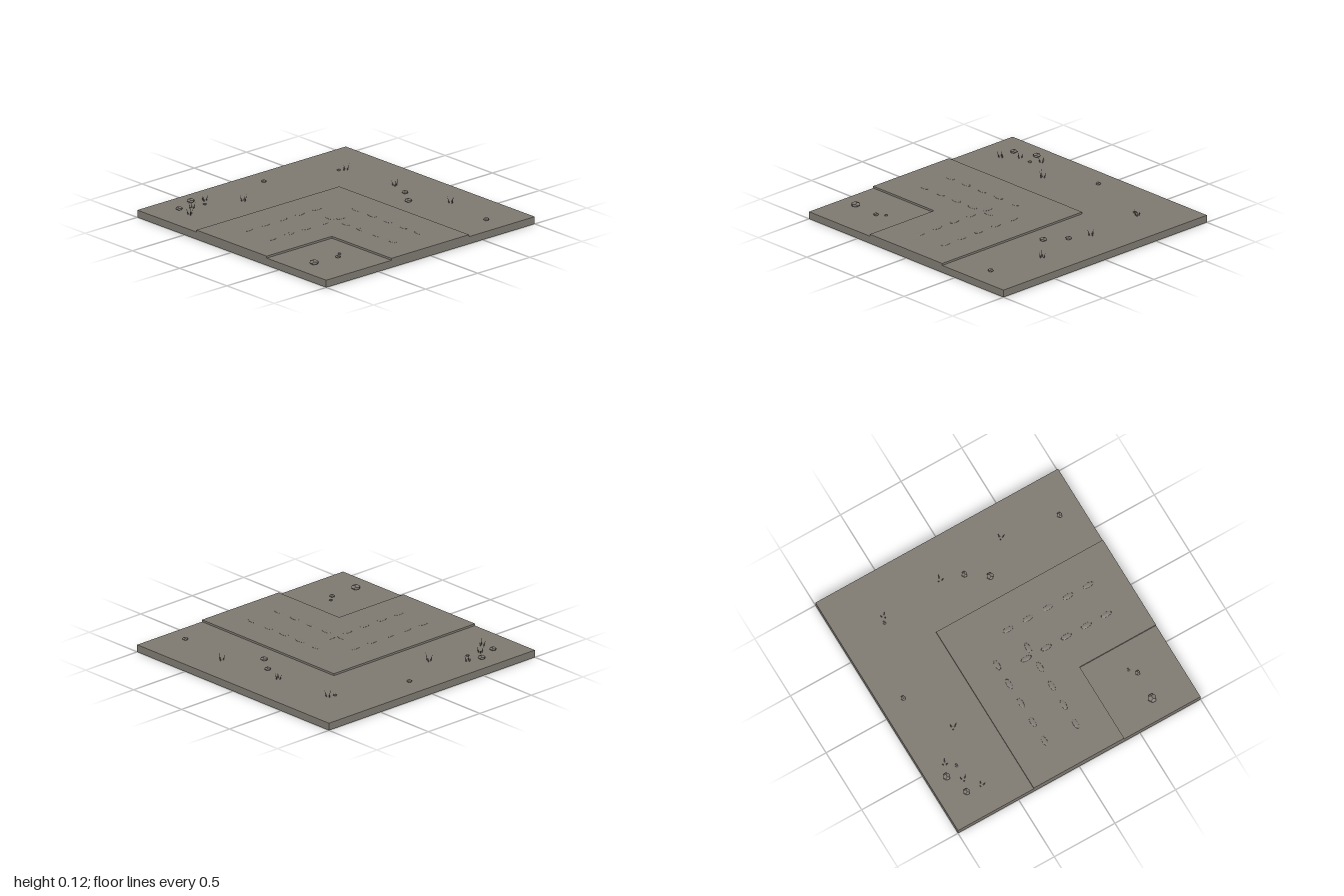
import * as THREE from 'three';

const GROUND = 0.055, ROAD = 0.07;

export function createModel() {
  const model = new THREE.Group();
  const soil = new THREE.MeshStandardMaterial({ color: 0x7d7870 });
  soil.name = 'soil grey';

  const add = (name, geometry, parent = model) => {
    const mesh = new THREE.Mesh(geometry, soil);
    mesh.name = name;
    parent.add(mesh);
    return mesh;
  };
  const group = (name) => {
    const g = new THREE.Group();
    g.name = name;
    model.add(g);
    return g;
  };

  // Square ground slab
  add('groundSlab', new THREE.BoxGeometry(2, GROUND, 2)).position.y = GROUND / 2;

  // Raised L-shaped road corner, drawn in x and -z then laid flat
  const outline = [[-1, 0.375], [-1, -0.37], [-0.375, -0.37], [-0.375, -1], [0.37, -1], [0.37, 0.375]];
  const shape = new THREE.Shape(outline.map(([x, y]) => new THREE.Vector2(x, y)));
  const roadGeometry = new THREE.ExtrudeGeometry(shape, { depth: ROAD - GROUND, bevelEnabled: false });
  roadGeometry.rotateX(-Math.PI / 2);
  add('road', roadGeometry).position.y = GROUND;

  // Shallow wheel-track bumps along both arms of the road
  const tracks = group('wheelTracks');
  const bump = new THREE.SphereGeometry(1, 12, 8);
  for (let i = 0; i < 5; i++) {
    for (const side of [-0.128, 0.128]) {
      const across = add('trackBump', bump, tracks);
      across.position.set(-0.73 + i * 0.166, ROAD, side);
      across.scale.set(0.042, 0.004, 0.018);
      const along = add('trackBump', bump, tracks);
      along.position.set(side, ROAD, 0.075 + i * 0.165);
      along.scale.set(0.018, 0.004, 0.042);
    }
  }

  // Flattened faceted stones: x, z, radius
  const stones = group('stones');
  const stoneGeometry = new THREE.DodecahedronGeometry(1, 0);
  for (const [x, z, r] of [
    [-0.78, -0.8, 0.026], [-0.61, -0.865, 0.029], [-0.57, -0.76, 0.014], [0.06, -0.83, 0.02],
    [0.62, -0.655, 0.014], [0.645, 0.02, 0.024], [0.54, 0.17, 0.028], [0.69, 0.83, 0.022],
    [-0.84, 0.695, 0.035], [-0.62, 0.705, 0.02], [-0.565, 0.66, 0.013],
  ]) {
    const stone = add('stone', stoneGeometry, stones);
    stone.position.set(x, GROUND + r * 0.5, z);
    stone.scale.set(r, r * 0.55, r);
  }

  // Grass tufts of three thin leaning blades: x, z, turn, height
  const tufts = group('grassTufts');
  const blade = new THREE.ConeGeometry(0.005, 1, 4);
  blade.translate(0, 0.5, 0);
  for (const [x, z, turn, height] of [
    [-0.515, -0.825, 0.4, 0.052], [-0.685, -0.77, 1.2, 0.056], [-0.785, -0.68, 2.1, 0.056],
    [-0.31, -0.635, 1.5, 0.066], [0.665, -0.635, 0.8, 0.056], [0.7, -0.15, 0.1, 0.062],
    [0.755, 0.385, 1.7, 0.06],
  ]) {
    const tuft = new THREE.Group();
    tuft.name = 'grassTuft';
    tuft.position.set(x, GROUND, z);
    for (let i = 0; i < 3; i++) {
      const angle = turn + i * 2.1;
      const b = add('grassBlade', blade, tuft);
      b.position.set(Math.cos(angle) * 0.014, 0, Math.sin(angle) * 0.014);
      b.scale.y = height * (1 - i * 0.15);
      b.rotation.set(Math.sin(angle) * 0.28, 0, -Math.cos(angle) * 0.28);
    }
    tufts.add(tuft);
  }

  return model;
}
